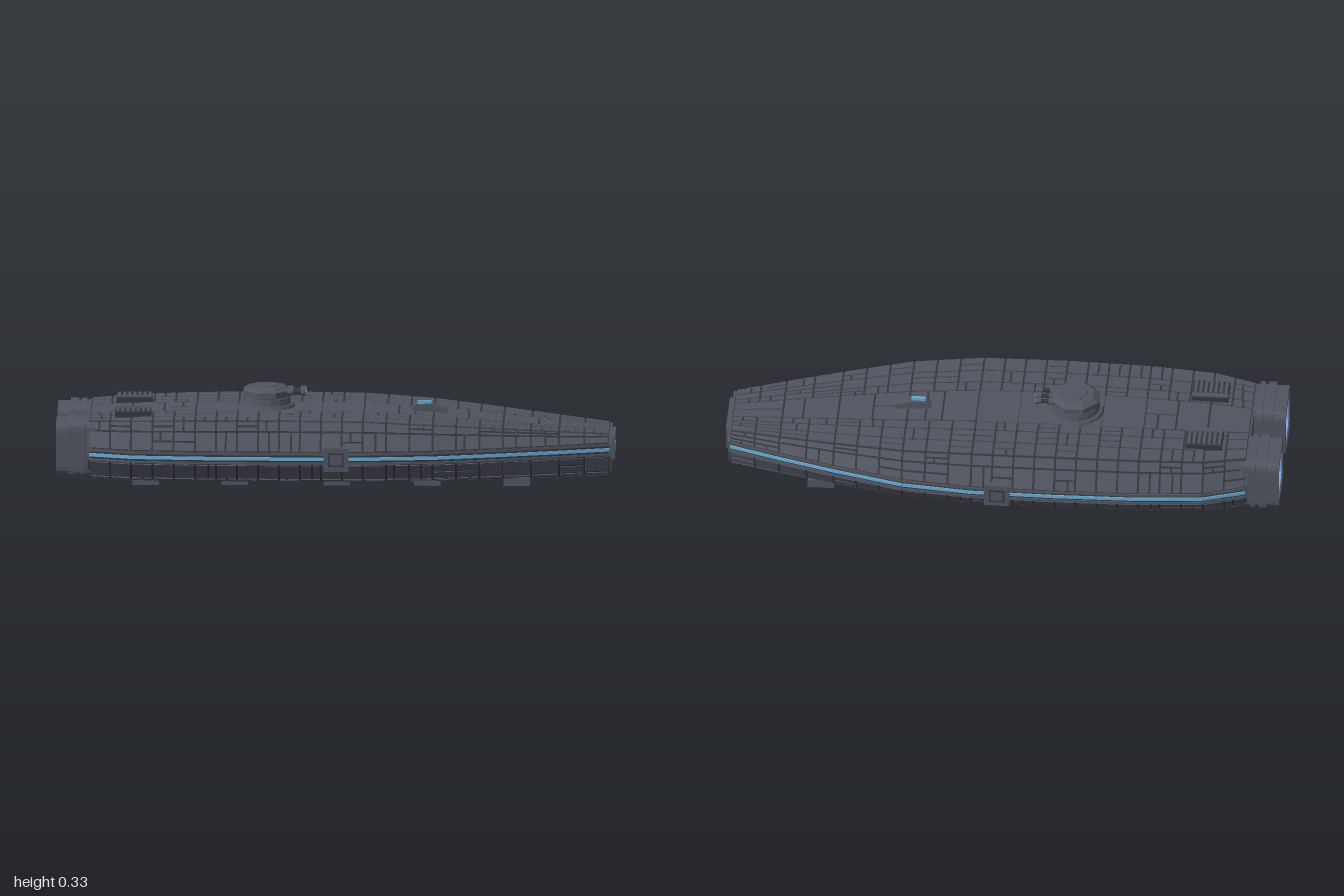
import * as THREE from 'three';

const mat = (name, color, side = THREE.FrontSide) => {
  const m = new THREE.MeshStandardMaterial({ color, side });
  m.name = name;
  return m;
};

// Hull stations: x, half width, deck height
const STATIONS = [
  [-0.88, 0.277, 0.236], [-0.73, 0.327, 0.242], [-0.5, 0.347, 0.247], [-0.2, 0.354, 0.249], [0.1, 0.352, 0.246],
  [0.35, 0.327, 0.231], [0.6, 0.262, 0.209], [0.8, 0.203, 0.191], [0.98, 0.145, 0.175],
];

// Ten-sided cross-section [z, y] at any x
function ring(x) {
  let i = 0;
  while (i < STATIONS.length - 2 && x > STATIONS[i + 1][0]) i++;
  const [a, b] = [STATIONS[i], STATIONS[i + 1]];
  const f = (x - a[0]) / (b[0] - a[0]);
  const w = a[1] + (b[1] - a[1]) * f, h = a[2] + (b[2] - a[2]) * f;
  const half = [[w * 0.825, h], [w, 0.145], [w, 0.102], [w * 0.86, 0.043], [w * 0.76, 0.029]];
  return [...half, ...half.slice().reverse().map(([z, y]) => [-z, y])];
}

// Point on facet k (between ring corners k and k+1) at fraction t
function onHull(x, k, t) {
  const r = ring(x), a = r[k], b = r[(k + 1) % 10];
  return new THREE.Vector3(x, a[1] + (b[1] - a[1]) * t, a[0] + (b[0] - a[0]) * t);
}

function geometryFrom(positions) {
  const g = new THREE.BufferGeometry();
  g.setAttribute('position', new THREE.Float32BufferAttribute(positions, 3));
  g.computeVertexNormals();
  return g;
}

const quad = (out, a, b, c, d) => [a, b, c, a, c, d].forEach((p) => out.push(p.x, p.y, p.z));

// Thin raised plate following one facet, with a gap around it
function plate(out, k, x0, x1, t0, t1, height = 0.004, gap = 0.0035) {
  const len = onHull(x0, k, 0).distanceTo(onHull(x0, k, 1));
  const g = gap / len;
  x0 += gap; x1 -= gap; t0 += g; t1 -= g;
  if (x1 <= x0 || t1 <= t0) return;
  const low = [onHull(x0, k, t0), onHull(x0, k, t1), onHull(x1, k, t1), onHull(x1, k, t0)];
  const n = low[2].clone().sub(low[0]).cross(low[3].clone().sub(low[1])).normalize();
  const mid = low[0].clone().add(low[2]).multiplyScalar(0.5);
  if (n.y * (mid.y - 0.12) + n.z * mid.z < 0) { n.negate(); low.reverse(); }
  const top = low.map((p) => p.clone().addScaledVector(n, height));
  quad(out, ...top);
  for (let i = 0; i < 4; i++) quad(out, low[i], low[(i + 1) % 4], top[(i + 1) % 4], top[i]);
}

function roundedRect(w, h, r, S = THREE.Shape) {
  const s = new S(), x = w / 2, y = h / 2;
  s.moveTo(-x + r, -y);
  s.lineTo(x - r, -y); s.quadraticCurveTo(x, -y, x, -y + r);
  s.lineTo(x, y - r); s.quadraticCurveTo(x, y, x - r, y);
  s.lineTo(-x + r, y); s.quadraticCurveTo(-x, y, -x, y - r);
  s.lineTo(-x, -y + r); s.quadraticCurveTo(-x, -y, -x + r, -y);
  return s;
}

// Extrude a cross-section along x from x0 to x1
function alongX(shape, x0, x1) {
  const g = new THREE.ExtrudeGeometry(shape, { depth: x1 - x0, bevelEnabled: false, curveSegments: 4 });
  return g.rotateY(Math.PI / 2).translate(x0, 0, 0);
}

export function createModel() {
  const model = new THREE.Group();
  const hullMat = mat('hull grey', 0x50545f);
  const darkMat = mat('groove grey', 0x33363e);
  const blueMat = mat('light blue', 0x68aad4);
  const glowMat = mat('engine blue', 0x78a6e6, THREE.DoubleSide);
  const add = (name, geo, m, x = 0, y = 0, z = 0, parent = model) => {
    const mesh = new THREE.Mesh(geo, m);
    mesh.name = name;
    mesh.position.set(x, y, z);
    parent.add(mesh);
    return mesh;
  };
  const box = (name, w, h, d, m, x, y, z, parent) => add(name, new THREE.BoxGeometry(w, h, d), m, x, y, z, parent);
  let seed = 11;
  const rand = () => (seed = (seed * 16807) % 2147483647) / 2147483647;

  // Core hull, visible in the grooves, and side light stripes
  const core = [], stripe = [], rails = [];
  for (let i = 0; i < STATIONS.length - 1; i++) {
    const x0 = STATIONS[i][0], x1 = STATIONS[i + 1][0];
    for (let k = 0; k < 10; k++) {
      quad(core, onHull(x0, k, 0), onHull(x0, k, 1), onHull(x1, k, 1), onHull(x1, k, 0));
    }
    for (const k of [1, 7]) {
      plate(stripe, k, x0, x1, 0.36, 0.64, 0.004, 0);
      plate(rails, k, x0, x1, 0, 0.2, 0.005, 0);
      plate(rails, k, x0, x1, 0.8, 1, 0.005, 0);
    }
  }
  add('hullCore', geometryFrom(core), darkMat);
  add('sideLightStripes', geometryFrom(stripe), blueMat);
  add('stripeRails', geometryFrom(rails), hullMat);

  // Armour plates, split at random into smaller panels
  const plates = [];
  const panel = (k, x0, x1, t0, t1) => {
    const r = rand(), xm = x0 + (x1 - x0) * (0.35 + 0.3 * rand()), tm = (t0 + t1) / 2;
    if (r < 0.2) {
      plate(plates, k, x0, xm, t0, t1); plate(plates, k, xm, x1, t0, t1);
    } else if (r < 0.35) {
      plate(plates, k, x0, x1, t0, tm); plate(plates, k, x0, x1, tm, t1);
    } else if (r < 0.45) {
      plate(plates, k, x0, xm, t0, tm); plate(plates, k, xm, x1, t0, tm); plate(plates, k, x0, x1, tm, t1);
    } else plate(plates, k, x0, x1, t0, t1);
  };
  const deckRows = [0, 0.13, 0.25, 0.34, 0.66, 0.75, 0.87, 1];
  const rows = { 0: [0, 0.35, 1], 2: [0, 1], 3: [0, 1], 4: [0, 0.16, 0.33, 0.5, 0.67, 0.84, 1], 6: [0, 1], 5: [0, 1], 8: [0, 0.65, 1], 9: deckRows };
  for (const key of Object.keys(rows)) {
    const k = Number(key), ts = rows[key];
    for (let i = 0; i < STATIONS.length - 1; i++) {
      const x0 = STATIONS[i][0], x1 = STATIONS[i + 1][0];
      const n = Math.round((x1 - x0) / 0.085);
      for (let j = 0; j < ts.length - 1; j++) {
        const centre = k === 9 && j === 3;
        const m = centre ? Math.max(1, Math.round(n / 2)) : n;
        for (let c = 0; c < m; c++) {
          const a = x0 + ((x1 - x0) * c) / m, b = x0 + ((x1 - x0) * (c + 1)) / m;
          if (centre && a > -0.55 && b < 0.11) plate(plates, k, a, b, ts[j], ts[j + 1], 0.004, 0.001);
          else panel(k, a, b, ts[j], ts[j + 1]);
        }
      }
    }
  }
  add('armourPlates', geometryFrom(plates), hullMat);

  // Bow and stern caps
  const cap = (x) => new THREE.Shape(ring(x).map(([z, y]) => new THREE.Vector2(z, y)));
  add('bowCap', alongX(cap(0.98), 0.975, 0.988), hullMat);
  add('sternCap', alongX(cap(-0.88), -0.886, -0.87), hullMat);

  // Bow sensor panel
  const frame = roundedRect(0.19, 0.086, 0.002);
  frame.holes.push(roundedRect(0.145, 0.042, 0.002, THREE.Path));
  add('bowPanelFrame', alongX(frame, 0.985, 1), hullMat, 0, 0.122, 0);
  box('bowPanelRecess', 0.004, 0.044, 0.147, darkMat, 0.988, 0.122, 0);
  box('bowLightBar', 0.004, 0.004, 0.02, blueMat, 0.991, 0.104, 0);
  for (const s of [-1, 1]) {
    const bezel = add('bowLampBezel', new THREE.CylinderGeometry(0.019, 0.021, 0.01, 12), hullMat, 0.992, 0.122, s * 0.029);
    const lamp = add('bowLamp', new THREE.CylinderGeometry(0.01, 0.01, 0.004, 12), blueMat, 0.997, 0.122, s * 0.029);
    bezel.rotation.z = lamp.rotation.z = -Math.PI / 2;
  }

  for (const s of [-1, 1]) {
    // Engine: stepped housing, nozzle and glowing liner
    const engine = new THREE.Group();
    engine.name = s > 0 ? 'leftEngine' : 'rightEngine';
    engine.position.set(0, 0.135, s * 0.157);
    model.add(engine);
    add('engineMount', alongX(roundedRect(0.19, 0.196, 0.03), -0.925, -0.82), hullMat, 0, 0, 0, engine);
    add('engineFlange', alongX(roundedRect(0.212, 0.208, 0.035), -0.915, -0.895), hullMat, 0, 0, 0, engine);
    const tube = (name, w, h, iw, ih, x0, x1, m) => {
      const sh = roundedRect(w, h, 0.035);
      sh.holes.push(roundedRect(iw, ih, 0.028, THREE.Path));
      add(name, alongX(sh, x0, x1), m, 0, 0, 0, engine);
    };
    tube('nozzleCollar', 0.214, 0.208, 0.165, 0.15, -0.955, -0.925, hullMat);
    tube('nozzleRim', 0.202, 0.19, 0.165, 0.15, -1, -0.955, hullMat);
    tube('glowLiner', 0.166, 0.151, 0.156, 0.141, -0.995, -0.925, glowMat);
    add('glowPlate', alongX(roundedRect(0.16, 0.145, 0.03), -0.93, -0.924), glowMat, 0, 0, 0, engine);

    // Deck vent with cross slats
    box('deckVent', 0.13, 0.028, 0.1, darkMat, -0.725, 0.25, s * 0.145);
    for (let i = 0; i < 7; i++) box('ventSlat', 0.01, 0.008, 0.07, hullMat, -0.78 + i * 0.0183, 0.265, s * 0.155);
    box('ventEdge', 0.13, 0.008, 0.02, hullMat, -0.725, 0.265, s * 0.106);

    // Side hatch
    box('sideHatch', 0.09, 0.085, 0.024, hullMat, 0.005, 0.122, s * 0.355);
    box('hatchInset', 0.056, 0.05, 0.006, darkMat, 0.005, 0.122, s * 0.367);
    box('hatchDoor', 0.044, 0.038, 0.006, hullMat, 0.005, 0.122, s * 0.3685);

    // Landing pads
    for (const x of [-0.68, -0.36, 0.005, 0.33, 0.65]) {
      box('landingPad', 0.095, 0.032, 0.106, hullMat, x, 0.016, s * 0.148);
    }
  }

  // Gun turret
  const turret = new THREE.Group();
  turret.name = 'turret';
  turret.position.set(-0.25, 0, 0);
  model.add(turret);
  const drum = (name, rTop, rBottom, y0, y1, sides, m) => {
    const g = new THREE.CylinderGeometry(rTop, rBottom, y1 - y0, sides).rotateY(Math.PI / sides).toNonIndexed();
    g.computeVertexNormals();
    add(name, g, m, 0, (y0 + y1) / 2, 0, turret);
  };
  drum('turretBase', 0.098, 0.106, 0.245, 0.264, 16, hullMat);
  drum('turretRing', 0.085, 0.088, 0.264, 0.288, 16, hullMat);
  drum('turretNeck', 0.076, 0.076, 0.286, 0.293, 8, darkMat);
  drum('turretBody', 0.09, 0.09, 0.292, 0.313, 8, hullMat);
  drum('turretRoof', 0.068, 0.09, 0.313, 0.328, 8, hullMat);
  drum('turretHatch', 0.044, 0.046, 0.328, 0.332, 8, hullMat);
  for (const z of [-0.033, 0, 0.033]) {
    const rod = (name, r, x0, x1, m) => {
      add(name, new THREE.CylinderGeometry(r, r, x1 - x0, 10).rotateZ(-Math.PI / 2), m, (x0 + x1) / 2, 0.308, z, turret);
    };
    rod('gunBarrel', 0.008, 0.06, 0.14, darkMat);
    rod('barrelSleeve', 0.012, 0.07, 0.095, hullMat);
    rod('gunMuzzle', 0.012, 0.122, 0.142, hullMat);
    rod('muzzleLight', 0.006, 0.141, 0.144, blueMat);
  }

  // Deck fin with signal light
  const fin = new THREE.Shape([[0.27, 0.225], [0.4, 0.22], [0.4, 0.247], [0.34, 0.264], [0.285, 0.262], [0.27, 0.25]].map(([x, y]) => new THREE.Vector2(x, y)));
  add('deckFin', new THREE.ExtrudeGeometry(fin, { depth: 0.036, bevelEnabled: false }), hullMat, 0, 0, -0.018);
  box('finLight', 0.05, 0.012, 0.012, blueMat, 0.315, 0.268, 0);

  return model;
}
